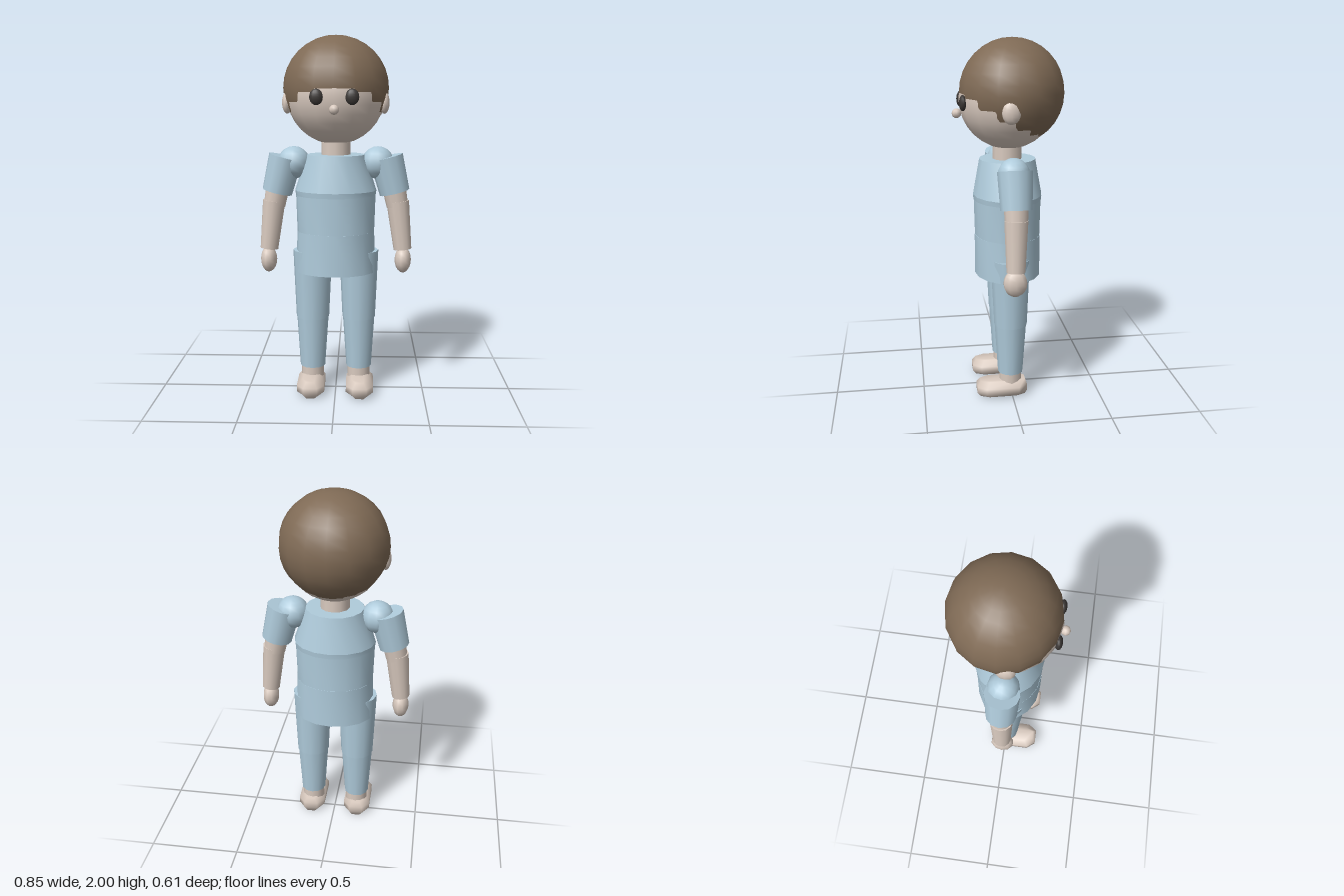
import * as THREE from 'three';

const paint = (name, color) => {
  const m = new THREE.MeshStandardMaterial({ color });
  m.name = name;
  return m;
};

export function createModel() {
  const skin = paint('skin', 0xd9cabf);
  const hair = paint('hairBrown', 0x7f6a55);
  const cloth = paint('clothBlue', 0xafcbdb);
  const dark = paint('eyeDark', 0x3b3735);
  const model = new THREE.Group();
  model.name = 'child';

  const add = (name, geometry, material, parent = model) => {
    const mesh = new THREE.Mesh(geometry, material);
    mesh.name = name;
    parent.add(mesh);
    return mesh;
  };

  // Ellipsoid given by centre and radii
  const ball = (name, material, centre, radii, parent, segs = 16, rings = 12) => {
    const mesh = add(name, new THREE.SphereGeometry(1, segs, rings), material, parent);
    mesh.position.set(...centre);
    mesh.scale.set(...radii);
    return mesh;
  };

  // Tapered round section between two points
  const limb = (name, material, top, bottom, rTop, rBottom, parent) => {
    const a = new THREE.Vector3(...top), b = new THREE.Vector3(...bottom);
    const mesh = add(name, new THREE.CylinderGeometry(rTop, rBottom, a.distanceTo(b), 12), material, parent);
    mesh.position.copy(a).add(b).multiplyScalar(0.5);
    mesh.quaternion.setFromUnitVectors(new THREE.Vector3(0, 1, 0), a.sub(b).normalize());
    return mesh;
  };

  // Elliptical trunk section; levels are [y, half width, half depth] from bottom to top
  const trunk = (name, levels) => {
    const pts = [[0, 0], ...levels.map(([y, w]) => [w, y]), [0, 0]].map((p) => new THREE.Vector2(...p));
    pts[0].y = levels[0][0];
    pts[pts.length - 1].y = levels[levels.length - 1][0];
    // Double the corner points so that caps stay sharp
    const profile = pts.flatMap((p, i) => (i && i < pts.length - 1 ? [p, p.clone()] : [p]));
    const g = new THREE.LatheGeometry(profile, 16);
    const pos = g.attributes.position;
    for (let i = 0; i < pos.count; i++) {
      const level = levels.find((l) => Math.abs(l[0] - pos.getY(i)) < 1e-4);
      pos.setZ(i, (pos.getZ(i) * level[2]) / level[1] + 0.005);
    }
    g.computeVertexNormals();
    // Weld the shading across the lathe seam
    const n = g.attributes.normal, m = profile.length;
    for (let j = 0; j < m; j++) {
      const k = 16 * m + j;
      const v = new THREE.Vector3().fromBufferAttribute(n, j)
        .add(new THREE.Vector3().fromBufferAttribute(n, k)).normalize();
      n.setXYZ(j, v.x, v.y, v.z);
      n.setXYZ(k, v.x, v.y, v.z);
    }
    return add(name, g, cloth);
  };

  // Foot lofted through chamfered outlines
  const footGeometry = () => {
    const levels = [[0, 0.045, -0.075, 0.18], [0.03, 0.077, -0.085, 0.2],
      [0.065, 0.077, -0.085, 0.2], [0.095, 0.045, -0.075, 0.18]];
    const verts = [], index = [], n = 8;
    for (const [y, w, back, front] of levels) {
      const c = w * 0.5, e = 0.05;
      const ring = [[c, front], [w, front - e], [w, back + e], [c, back],
        [-c, back], [-w, back + e], [-w, front - e], [-c, front]];
      for (const [x, z] of ring) verts.push(x, y, z);
    }
    for (let l = 0; l < 3; l++) {
      for (let i = 0; i < n; i++) {
        const a = l * n + i, b = l * n + ((i + 1) % n);
        index.push(a, b, b + n, a, b + n, a + n);
      }
    }
    for (let i = 1; i < n - 1; i++) {
      index.push(0, i + 1, i);
      index.push(3 * n, 3 * n + i, 3 * n + i + 1);
    }
    const g = new THREE.BufferGeometry();
    g.setAttribute('position', new THREE.Float32BufferAttribute(verts, 3));
    g.setIndex(index);
    g.computeVertexNormals();
    return g;
  };

  // Head, with the hair as a larger shell set up and back
  ball('head', skin, [0, 1.68, 0], [0.27, 0.27, 0.266], model, 16, 16);
  ball('hair', hair, [0, 1.716, -0.021], [0.29, 0.284, 0.284], model, 16, 16);
  ball('nose', skin, [0, 1.605, 0.278], [0.026, 0.026, 0.026], model, 8, 8);
  limb('neck', skin, [0, 1.46, 0.005], [0, 1.3, 0.005], 0.08, 0.08);

  // Trunk
  trunk('chest', [[1.13, 0.222, 0.188], [1.158, 0.226, 0.191], [1.355, 0.16, 0.155]]);
  trunk('waist', [[0.92, 0.215, 0.182], [1.145, 0.222, 0.187]]);
  trunk('hips', [[0.7, 0.225, 0.184], [0.928, 0.215, 0.184]]);

  for (const [side, s] of [['left', 1], ['right', -1]]) {
    // Face details
    ball(side + 'Eye', dark, [s * 0.093, 1.67, 0.251], [0.036, 0.042, 0.02], model, 12, 10);
    ball(side + 'Ear', skin, [s * 0.265, 1.637, 0.02], [0.028, 0.06, 0.05], model, 10, 10);

    // Arm
    const arm = new THREE.Group();
    arm.name = side + 'Arm';
    model.add(arm);
    ball('shoulder', cloth, [s * 0.232, 1.31, 0.003], [0.09, 0.09, 0.087], arm, 12, 10);
    limb('sleeve', cloth, [s * 0.278, 1.34, 0.003], [s * 0.327, 1.145, 0.003], 0.094, 0.084, arm);
    limb('upperArm', skin, [s * 0.315, 1.22, 0.003], [s * 0.343, 1.07, 0.005], 0.068, 0.06, arm);
    limb('forearm', skin, [s * 0.345, 1.095, 0.006], [s * 0.375, 0.825, 0.012], 0.063, 0.05, arm);
    ball('hand', skin, [s * 0.377, 0.765, 0.015], [0.046, 0.074, 0.064], arm, 10, 10);

    // Leg
    const leg = new THREE.Group();
    leg.name = side + 'Leg';
    model.add(leg);
    limb('thigh', cloth, [s * 0.13, 0.818, 0.006], [s * 0.131, 0.43, 0.004], 0.11, 0.093, leg);
    limb('calf', cloth, [s * 0.131, 0.435, 0.005], [s * 0.132, 0.14, 0.006], 0.09, 0.071, leg);
    limb('ankle', skin, [s * 0.132, 0.16, 0.006], [s * 0.132, 0.07, 0.006], 0.064, 0.064, leg);
    add('foot', footGeometry(), skin, leg).position.x = s * 0.138;
  }
  return model;
}
